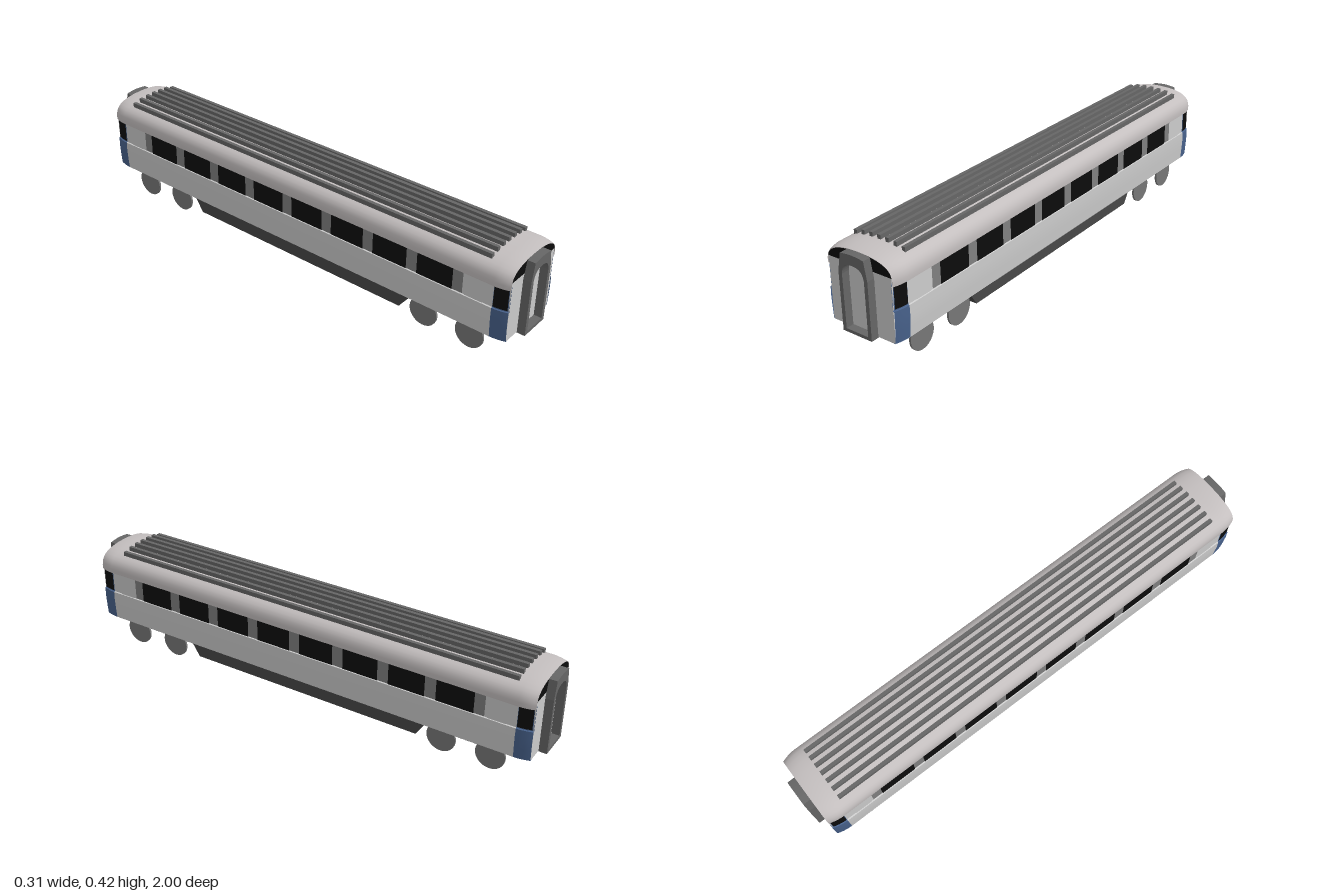
import * as THREE from 'three';
import { toCreasedNormals } from 'three/addons/utils/BufferGeometryUtils.js';

const END = 0.97;
const mat = (color) => new THREE.MeshStandardMaterial({ color, side: THREE.DoubleSide });
const MATS = {
  light: mat(0xcccccc), roof: mat(0xc4bfbf), band: mat(0x808080), glass: mat(0x0c0c0c),
  blue: mat(0x48628c), dark: mat(0x666666), under: mat(0x484848), wheel: mat(0x777777),
};

function add(parent, name, geometry, material, x = 0, y = 0, z = 0) {
  const mesh = new THREE.Mesh(geometry, material);
  mesh.name = name;
  mesh.position.set(x, y, z);
  parent.add(mesh);
  return mesh;
}

// The body narrows in a rounded corner close to each end
function taper(z) {
  const t = Math.max(0, (Math.abs(z) - 0.91) / (END - 0.91));
  return 1 - 0.075 * t * t;
}

// Sweeps a cross-section [x, y] along z, following the end taper
function sweep(profile, z0, z1, place) {
  const zs = [-0.97, -0.96, -0.945, -0.925, -0.91, 0.91, 0.925, 0.945, 0.96, 0.97]
    .filter((z) => z > z0 + 1e-4 && z < z1 - 1e-4);
  const stations = [z0, ...zs, z1];
  const pos = [], index = [];
  for (const z of stations) for (const [x, y] of profile) pos.push(...place(x, y, z));
  const n = profile.length;
  for (let i = 0; i < stations.length - 1; i++) {
    for (let j = 0; j < n - 1; j++) {
      const a = i * n + j, b = a + n;
      index.push(a, a + 1, b, b, a + 1, b + 1);
    }
  }
  const g = new THREE.BufferGeometry();
  g.setAttribute('position', new THREE.Float32BufferAttribute(pos, 3));
  g.setIndex(index);
  return toCreasedNormals(g, 0.5);
}

const LOWER = [[0.137, 0.107], [0.148, 0.108], [0.151, 0.15], [0.153, 0.19], [0.152, 0.229], [0.146, 0.231]];
const UPPER = [[0.147, 0.228], [0.146, 0.33]];

function buildSide(s) {
  const side = new THREE.Group();
  side.name = s > 0 ? 'leftSide' : 'rightSide';
  const strip = (name, profile, z0, z1, material, out = 0) =>
    add(side, name, sweep(profile, z0, z1, (x, y, z) => [s * (x * taper(z) + out), y, z]), material);

  strip('lowerPanel', LOWER, -0.91, 0.91, MATS.light);
  strip('windowBand', UPPER, -0.79, 0.79, MATS.band);
  // Passenger windows
  for (let i = 0; i < 8; i++) {
    const z = (i - 3.5) * 0.193;
    strip('window', [[0.147, 0.23], [0.146, 0.32]], z - 0.074, z + 0.074, MATS.glass, 0.0015);
  }
  // Plain end panels and doors, at both ends
  for (const e of [-1, 1]) {
    const span = (a, b) => (e > 0 ? [a, b] : [-b, -a]);
    strip('endPanel', UPPER, ...span(0.79, 0.91), MATS.light);
    strip('blankWindow', [[0.147, 0.23], [0.146, 0.32]], ...span(0.8, 0.87), MATS.light, 0.0015);
    strip('doorLower', LOWER, ...span(0.91, END), MATS.blue);
    strip('doorUpper', UPPER, ...span(0.91, END), MATS.blue);
    strip('doorWindow', [[0.147, 0.235], [0.146, 0.32]], ...span(0.912, 0.964), MATS.glass, 0.0015);
  }
  return side;
}

// Half of the roof curve, from the gutter to the ridge
const ROOF = [[0.145, 0.317], [0.152, 0.318], [0.153, 0.335], [0.151, 0.35], [0.146, 0.364], [0.137, 0.376],
  [0.124, 0.385], [0.105, 0.393], [0.08, 0.399], [0.045, 0.4035], [0, 0.405]];

function buildRoof() {
  const roof = new THREE.Group();
  roof.name = 'roof';
  const full = [...ROOF, ...ROOF.slice(0, -1).reverse().map(([x, y]) => [-x, y])];
  const place = (x, y, z) => [x * taper(z), y - (1 - taper(z)) * 0.06 * (y > 0.34 ? 1 : 0), z];
  add(roof, 'roofShell', sweep(full, -END, END, place), MATS.roof);
  // Lengthwise ribs
  for (let i = -3; i <= 3; i++) {
    const top = [0.421, 0.42, 0.417, 0.408][Math.abs(i)];
    add(roof, 'roofRib', new THREE.BoxGeometry(0.014, 0.03, 1.76), MATS.dark, i * 0.035 - 0.001, top - 0.015, -0.008);
  }
  return roof;
}

function buildEnd() {
  const end = new THREE.Group();
  end.name = 'carriageEnd';
  // Flat wall with a dark arched panel above it
  add(end, 'endWall', new THREE.BoxGeometry(0.274, 0.24, 0.006), MATS.light, 0, 0.227, 0.966);
  const arch = new THREE.Shape();
  arch.moveTo(-0.138, 0.347);
  arch.lineTo(0.138, 0.347);
  arch.bezierCurveTo(0.134, 0.382, 0.08, 0.397, 0, 0.399);
  arch.bezierCurveTo(-0.08, 0.397, -0.134, 0.382, -0.138, 0.347);
  add(end, 'endArch', new THREE.ShapeGeometry(arch, 16), MATS.glass, 0, 0, 0.969);
  const rim = new THREE.Shape(ROOF.map(([x, y]) => new THREE.Vector2(x * 0.925, y - 0.0045 * (y > 0.34 ? 1 : 0)))
    .concat(ROOF.slice(0, -1).reverse().map(([x, y]) => new THREE.Vector2(-x * 0.925, y - 0.0045 * (y > 0.34 ? 1 : 0)))));
  add(end, 'roofRim', new THREE.ShapeGeometry(rim), MATS.roof, 0, 0, 0.967);

  // Gangway frame with an arched opening
  const frame = new THREE.Shape();
  frame.moveTo(-0.064, 0.104);
  frame.lineTo(0.062, 0.104);
  frame.lineTo(0.062, 0.325);
  frame.lineTo(0.05, 0.395);
  frame.quadraticCurveTo(0, 0.405, -0.051, 0.395);
  frame.lineTo(-0.064, 0.325);
  const hole = new THREE.Path();
  hole.moveTo(-0.049, 0.116);
  hole.lineTo(-0.049, 0.32);
  hole.bezierCurveTo(-0.045, 0.352, -0.03, 0.362, -0.001, 0.362);
  hole.bezierCurveTo(0.028, 0.362, 0.043, 0.352, 0.047, 0.32);
  hole.lineTo(0.047, 0.116);
  frame.holes.push(hole);
  add(end, 'gangwayFrame', new THREE.ExtrudeGeometry(frame, { depth: 0.04, bevelEnabled: false, curveSegments: 10 }),
    MATS.dark, 0, 0, 0.96);
  return end;
}

function buildBogie(z) {
  const bogie = new THREE.Group();
  bogie.name = 'bogie';
  bogie.position.set(-0.003, 0, z);
  add(bogie, 'bogieFrame', new THREE.BoxGeometry(0.118, 0.042, 0.23), MATS.dark, 0, 0.058, 0);
  add(bogie, 'bogiePivot', new THREE.CylinderGeometry(0.033, 0.033, 0.035, 24), MATS.dark, 0, 0.092, 0);
  for (const dz of [-0.0975, 0.0975]) {
    add(bogie, 'axle', new THREE.CylinderGeometry(0.005, 0.005, 0.228, 12), MATS.dark, 0, 0.059, dz).rotation.z = Math.PI / 2;
    for (const s of [-1, 1]) {
      add(bogie, 'wheel', new THREE.CylinderGeometry(0.058, 0.058, 0.008, 32), MATS.wheel, s * 0.115, 0.058, dz)
        .rotation.z = Math.PI / 2;
    }
  }
  return bogie;
}

export function createModel() {
  const model = new THREE.Group();
  model.name = 'railwayCarriage';
  model.add(buildSide(1), buildSide(-1), buildRoof());

  const front = buildEnd();
  const back = buildEnd();
  back.rotation.y = Math.PI;
  model.add(front, back);

  // Floor and the sloped equipment box below it
  add(model, 'floor', new THREE.BoxGeometry(0.276, 0.006, 1.93), MATS.under, 0, 0.111, 0);
  const box = new THREE.Shape([[-0.565, 0.11], [-0.508, 0.021], [0.508, 0.021], [0.565, 0.11]]
    .map(([x, y]) => new THREE.Vector2(x, y)));
  const tray = new THREE.ExtrudeGeometry(box, { depth: 0.209, bevelEnabled: false });
  add(model, 'underfloorBox', tray, MATS.under, -0.109, 0, 0).rotation.y = Math.PI / 2;

  model.add(buildBogie(0.72), buildBogie(-0.715));
  return model;
}
